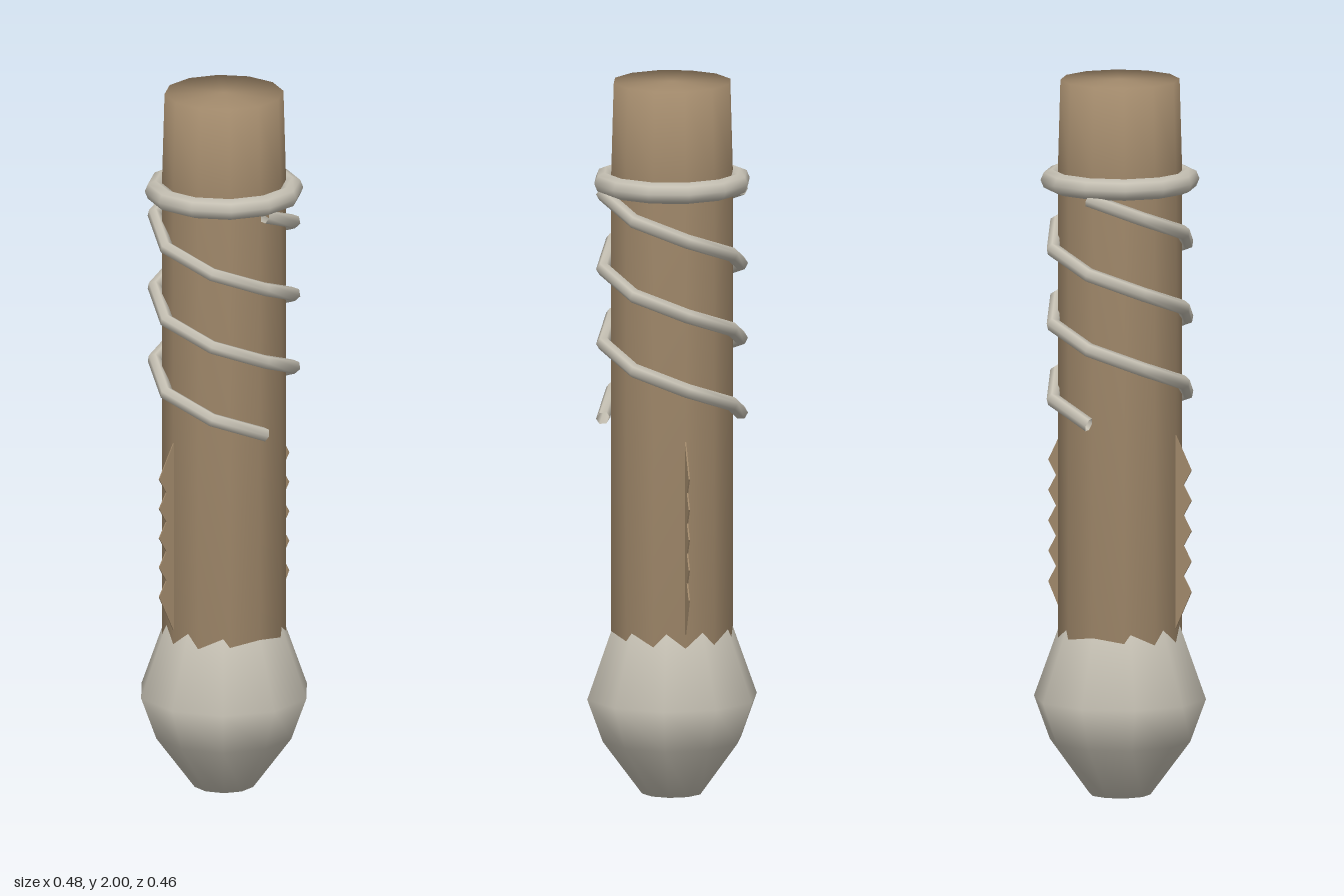
import * as THREE from 'three';

// Helix falling from -x through +z to +x, one and a half turns
class HelixCurve extends THREE.Curve {
  getPoint(t, target = new THREE.Vector3()) {
    const a = -Math.PI / 2 + t * Math.PI * 3;
    return target.set(0.195 * Math.sin(a), 1.69 - 0.63 * t, 0.195 * Math.cos(a));
  }
}

// Faceted turned part from [radius, height] pairs, bottom to top
function turned(profile, sides, start = 0) {
  return new THREE.LatheGeometry(profile.map(([r, y]) => new THREE.Vector2(r, y)), sides, start);
}

export function createModel() {
  const model = new THREE.Group();
  const wood = new THREE.MeshStandardMaterial({ color: 0xa1896b });
  const bone = new THREE.MeshStandardMaterial({ color: 0xc4bfb2, side: THREE.DoubleSide });

  const add = (name, geometry, material, turn = 0) => {
    const mesh = new THREE.Mesh(geometry, material);
    mesh.name = name;
    mesh.rotation.y = turn;
    model.add(mesh);
    return mesh;
  };

  // Twelve-sided shaft with a slightly narrower closed top
  add('shaft', turned([[0, 0.3], [0.172, 0.3], [0.172, 1.75], [0.165, 2], [0, 2]], 12), wood);

  // Ten-sided pommel; its corners cut through the shaft as a jagged edge
  add('pommel', turned([[0, 0], [0.085, 0], [0.196, 0.15], [0.24, 0.27], [0.147, 0.53], [0, 0.54]], 10, Math.PI / 2), bone);

  // Collar ring
  const collar = new THREE.TorusGeometry(0.19, 0.03, 8, 12);
  collar.rotateX(Math.PI / 2);
  add('collarRing', collar, bone).position.y = 1.72;

  // Row of overlapping teeth as one thin saw-edged plate
  const teeth = new THREE.Shape();
  teeth.moveTo(0.15, 0.46);
  teeth.lineTo(0.165, 0.46);
  for (let i = 0; i < 5; i++) {
    const y = 0.58 + i * 0.085;
    teeth.lineTo(0.22, y);
    if (i < 4) teeth.lineTo(0.196, y + 0.043);
  }
  teeth.lineTo(0.165, 1.03);
  teeth.lineTo(0.15, 1.03);
  const fin = new THREE.ExtrudeGeometry(teeth, { depth: 0.004, bevelEnabled: false });
  fin.translate(0, 0, -0.002);
  fin.rotateY(-Math.PI / 2);

  // Two opposite windings and two opposite fins
  const winding = new THREE.TubeGeometry(new HelixCurve(), 12, 0.02, 6);
  ['front', 'back'].forEach((side, i) => {
    add(side + 'Winding', winding, bone, i * Math.PI);
    add(side + 'ToothedFin', fin, wood, i * Math.PI);
  });

  return model;
}
